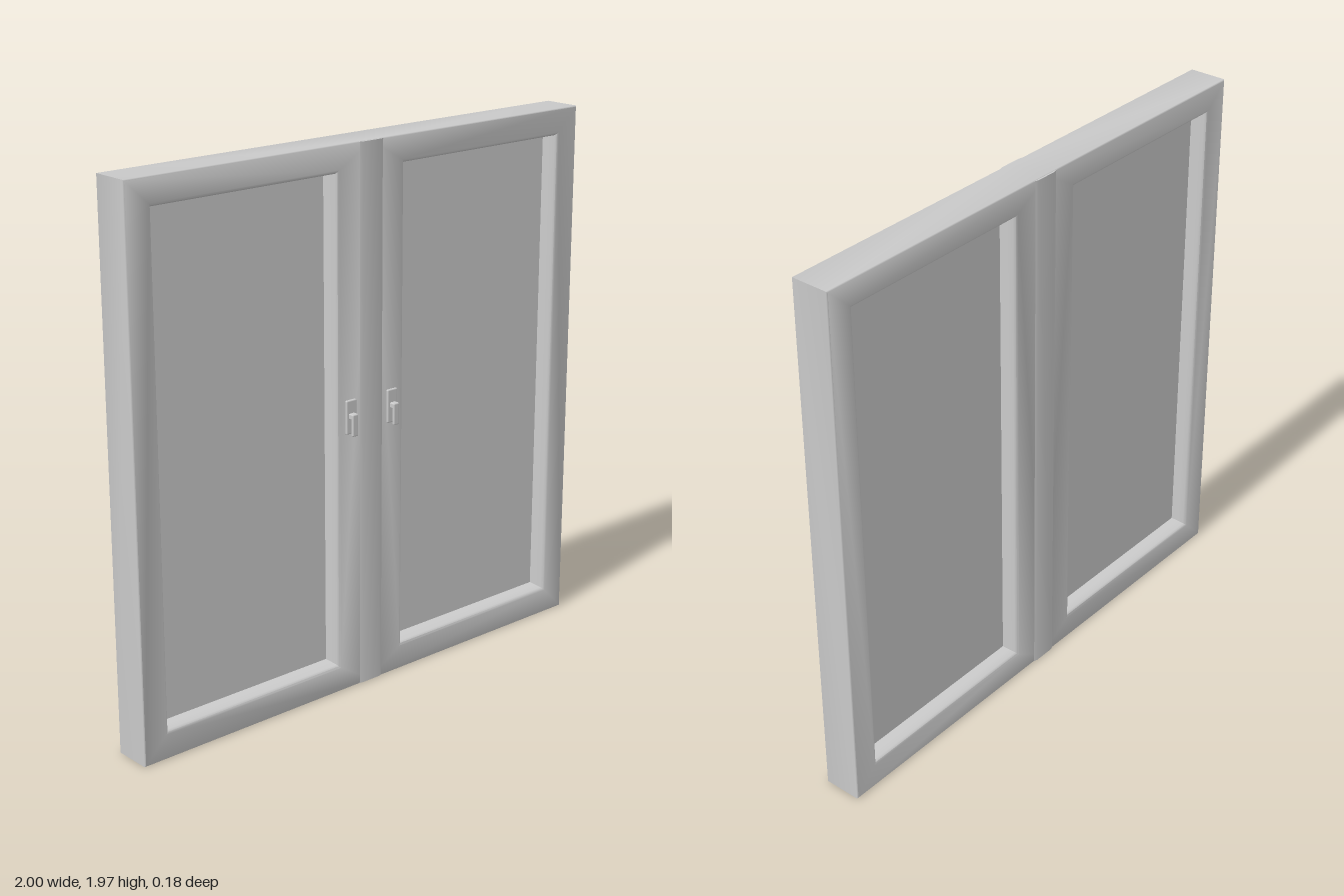
import * as THREE from 'three';
import { toCreasedNormals } from 'three/addons/utils/BufferGeometryUtils.js';
import { RoundedBoxGeometry } from 'three/addons/geometries/RoundedBoxGeometry.js';

const H = 1.97, FRONT = 0.06, BACK = -0.085, MID = (FRONT + BACK) / 2;
const OPEN = { x0: 0.16, x1: 0.89, y0: 0.11, y1: 1.865 };
const grey = new THREE.MeshStandardMaterial({ color: 0xcccccc });

function add(parent, name, geometry, x, y, z) {
  const mesh = new THREE.Mesh(geometry, grey);
  mesh.name = name;
  mesh.position.set(x, y, z);
  parent.add(mesh);
  return mesh;
}

// Rectangle of four corners, anticlockwise from the front; grow widens it
function rectangle({ x0, x1, y0, y1 }, grow, z) {
  return [
    [x0 - grow, y0 - grow, z], [x1 + grow, y0 - grow, z],
    [x1 + grow, y1 + grow, z], [x0 - grow, y1 + grow, z],
  ];
}

// Sash: rectangles skinned in order, from the back opening, round the outside, to the front opening
function sashGeometry() {
  const lip = [[0, 0.012], [0.003, 0.04], [0.008, 0.062], [0.013, 0.069], [0.02, 0.0725]];
  const half = (FRONT - BACK) / 2;
  const outer = (inset, z) => rectangle({ x0: 0, x1: 1 - inset, y0: inset, y1: H - inset }, 0, z);
  const loops = [
    ...lip.map(([g, d]) => rectangle(OPEN, g, MID - d)),
    outer(0.004, MID - half), outer(0, MID - half + 0.004),
    outer(0, MID + half - 0.004), outer(0.004, MID + half),
    ...lip.slice().reverse().map(([g, d]) => rectangle(OPEN, g, MID + d)),
  ];
  const positions = [];
  for (let k = 0; k < loops.length - 1; k++) {
    const p = loops[k], q = loops[k + 1];
    for (let i = 0; i < 4; i++) {
      const j = (i + 1) % 4;
      positions.push(...p[i], ...p[j], ...q[j], ...p[i], ...q[j], ...q[i]);
    }
  }
  const geometry = new THREE.BufferGeometry();
  geometry.setAttribute('position', new THREE.Float32BufferAttribute(positions, 3));
  return toCreasedNormals(geometry, 0.8);
}

// Handle: back plate, short neck and a lever hanging down
function makeHandle() {
  const handle = new THREE.Group();
  handle.name = 'handle';
  add(handle, 'handlePlate', new RoundedBoxGeometry(0.046, 0.122, 0.012, 3, 0.005), 0, 1.024, FRONT + 0.002);
  add(handle, 'handleNeck', new RoundedBoxGeometry(0.026, 0.02, 0.028, 2, 0.004), 0, 1.028, 0.074);
  add(handle, 'handleLever', new RoundedBoxGeometry(0.026, 0.08, 0.011, 3, 0.005), 0, 0.998, 0.0835);
  return handle;
}

export function createModel() {
  const model = new THREE.Group();
  model.name = 'doubleWindow';
  const sash = sashGeometry();
  const glass = new THREE.BoxGeometry(OPEN.x1 - OPEN.x0 + 0.01, OPEN.y1 - OPEN.y0 + 0.01, 0.025);

  for (const side of [-1, 1]) {
    const leaf = new THREE.Group();
    leaf.name = side > 0 ? 'leftLeaf' : 'rightLeaf';
    add(leaf, 'sash', sash, 0, 0, 0);
    add(leaf, 'pane', glass, (OPEN.x0 + OPEN.x1) / 2, (OPEN.y0 + OPEN.y1) / 2, MID);
    const handle = makeHandle();
    handle.position.x = 0.095;
    leaf.add(handle);
    leaf.scale.x = side;
    model.add(leaf);
  }

  // Slightly raised, chamfered cover strip where the leaves meet, on both faces
  const strip = new THREE.Shape([
    [-0.055, BACK + 0.001], [-0.04, BACK - 0.004], [0.04, BACK - 0.004], [0.055, BACK + 0.001],
    [0.055, FRONT - 0.001], [0.04, FRONT + 0.003], [-0.04, FRONT + 0.003], [-0.055, FRONT - 0.001],
  ].map(([x, z]) => new THREE.Vector2(x, -z)));
  const stripGeometry = new THREE.ExtrudeGeometry(strip, { depth: H - 0.004, bevelEnabled: false });
  stripGeometry.rotateX(-Math.PI / 2);
  add(model, 'meetingStrip', toCreasedNormals(stripGeometry, 0.6), 0, 0.002, 0);
  return model;
}
